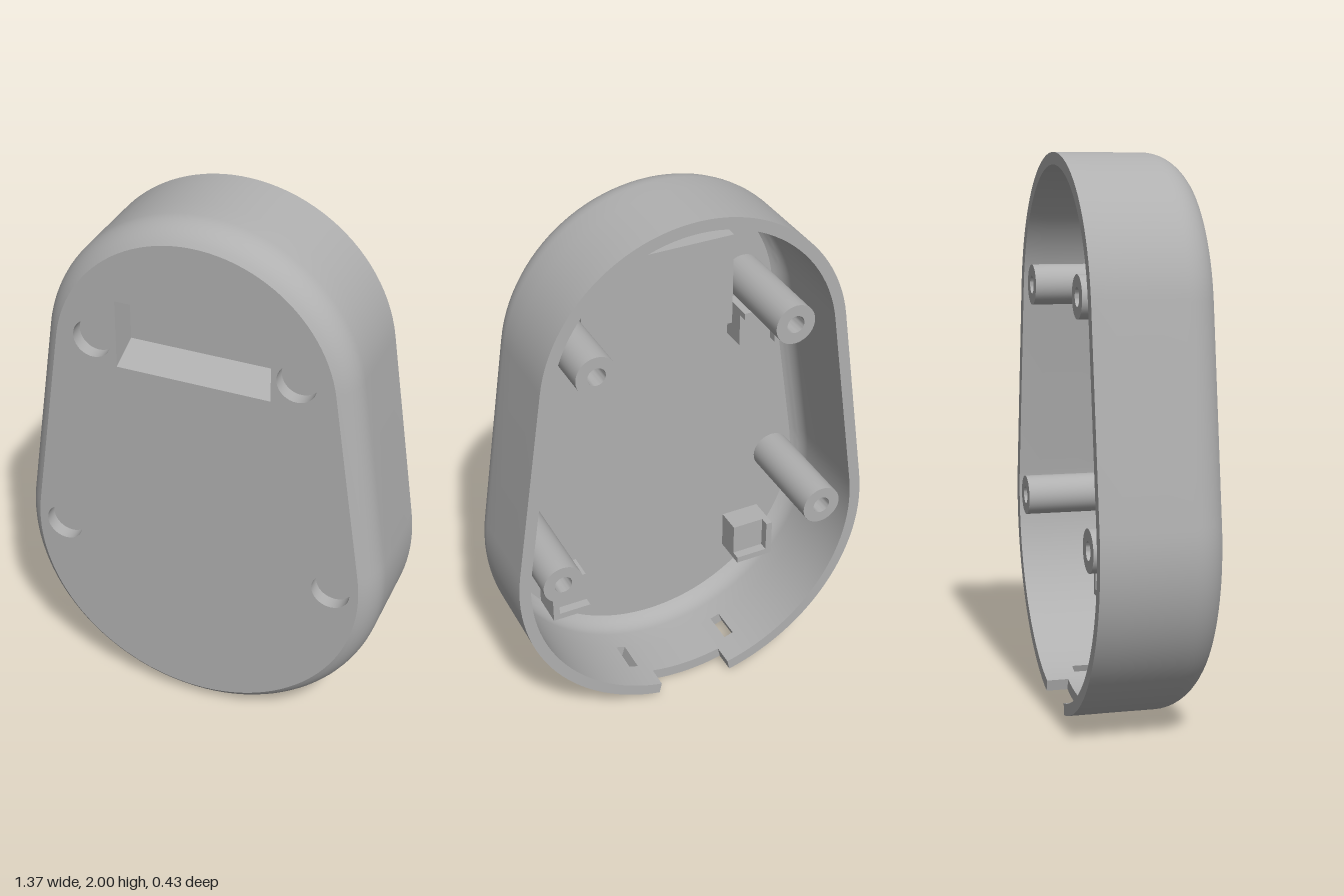
import * as THREE from 'three';
import { toCreasedNormals } from 'three/addons/utils/BufferGeometryUtils.js';

// Outline: two circles joined by tangents
const LOW = { y: 0.685, r: 0.685 }, HIGH = { y: 1.425, r: 0.575 };
const TILT = Math.asin((LOW.r - HIGH.r) / (HIGH.y - LOW.y));
const BACK = -0.215, FRONT = 0.215, FLOOR = 0.175, BEND = 0.1, WALL = 0.043;
const DOWN = 1.5 * Math.PI;
const angleAt = (x) => Math.asin(x / LOW.r);
const NOTCH = angleAt(0.15), SLOT_IN = angleAt(0.2), SLOT_OUT = angleAt(0.238);

function makeLoop() {
  const loop = [];
  for (let i = 0; i <= 48; i++) loop.push({ a: TILT + (Math.PI - 2 * TILT) * i / 48, c: HIGH });
  const angles = [];
  for (let i = 0; i <= 64; i++) angles.push(Math.PI - TILT + (Math.PI + 2 * TILT) * i / 64);
  for (const a of [NOTCH, SLOT_IN, SLOT_OUT]) angles.push(DOWN - a, DOWN + a);
  angles.sort((p, q) => p - q).forEach((a) => loop.push({ a, c: LOW }));
  return loop;
}
const LOOP = makeLoop(), N = LOOP.length;

// Point j of the outline, moved inwards by inset, at depth z
function at(j, inset, z) {
  const { a, c } = LOOP[(j + N) % N];
  return [Math.cos(a) * (c.r - inset), c.y + Math.sin(a) * (c.r - inset), z];
}

// Geometry from a list of four-cornered faces, smooth below the crease angle
function fromQuads(quads) {
  const pos = [];
  for (const [a, b, c, d] of quads) pos.push(...a, ...b, ...c, ...a, ...c, ...d);
  const geo = new THREE.BufferGeometry();
  geo.setAttribute('position', new THREE.Float32BufferAttribute(pos, 3));
  return toCreasedNormals(geo, 0.4);
}

// Side wall with cable notch and slots, plus the rounded front edge
function shellGeometry() {
  const quads = [];
  const levels = [BACK, -0.135, -0.1, 0.02, BEND];
  const solid = (j, k) => {
    if (k < 0) return false;
    if (k > 3) return true;
    const p = LOOP[(j + N) % N], q = LOOP[(j + 1 + N) % N];
    if (p.c !== LOW || q.c !== LOW) return true;
    const off = Math.abs((p.a + q.a) / 2 - DOWN);
    return !((k === 0 && off < NOTCH) || (k === 2 && off > SLOT_IN && off < SLOT_OUT));
  };
  for (let j = 0; j < N; j++) {
    for (let k = 0; k < 4; k++) {
      if (!solid(j, k)) continue;
      const z0 = levels[k], z1 = levels[k + 1], n = j + 1;
      quads.push([at(j, 0, z0), at(n, 0, z0), at(n, 0, z1), at(j, 0, z1)]);
      quads.push([at(j, WALL, z1), at(n, WALL, z1), at(n, WALL, z0), at(j, WALL, z0)]);
      // cut faces next to openings and the back rim
      if (!solid(j, k - 1)) quads.push([at(j, WALL, z0), at(n, WALL, z0), at(n, 0, z0), at(j, 0, z0)]);
      if (!solid(j, k + 1)) quads.push([at(j, 0, z1), at(n, 0, z1), at(n, WALL, z1), at(j, WALL, z1)]);
      if (!solid(j - 1, k)) quads.push([at(j, WALL, z0), at(j, 0, z0), at(j, 0, z1), at(j, WALL, z1)]);
      if (!solid(j + 1, k)) quads.push([at(n, 0, z0), at(n, WALL, z0), at(n, WALL, z1), at(n, 0, z1)]);
    }
    const steps = 8;
    for (let i = 0; i < steps; i++) {
      const o0 = edge(0, i / steps), o1 = edge(0, (i + 1) / steps);
      const i0 = edge(WALL, i / steps), i1 = edge(WALL, (i + 1) / steps);
      quads.push([at(j, ...o0), at(j + 1, ...o0), at(j + 1, ...o1), at(j, ...o1)]);
      quads.push([at(j, ...i1), at(j + 1, ...i1), at(j + 1, ...i0), at(j, ...i0)]);
    }
  }
  return fromQuads(quads);
}

// Rounded edge profile: [inset, z] at t, for the outer (0) or inner (WALL) skin
function edge(skin, t) {
  const r = 0.1376 - skin;
  const a = t * Math.asin(((skin ? FLOOR : FRONT) - BEND) / r);
  return [skin + r * (1 - Math.cos(a)), BEND + r * Math.sin(a)];
}

const POSTS = [[0.37, 1.52], [0.52, 0.695]].flatMap(([x, y]) => [[x, y], [-x, y]]);
const RECESS = 0.071;
const WINDOW = [-0.28, 0.28, 1.43, 1.685];

// Flat face of the front wall, with window and recess holes
function faceGeometry(skin) {
  const [inset, z] = edge(skin, 1);
  const shape = new THREE.Shape(LOOP.map((_, j) => new THREE.Vector2(...at(j, inset, z))));
  const [x0, x1, y0, y1] = WINDOW;
  shape.holes.push(new THREE.Path([[x0, y0], [x0, y1], [x1, y1], [x1, y0]].map((p) => new THREE.Vector2(...p))));
  for (const [x, y] of POSTS) shape.holes.push(new THREE.Path().absarc(x, y, RECESS, 0, Math.PI * 2, true));
  const geo = new THREE.ShapeGeometry(shape, 20);
  if (skin) {
    geo.scale(-1, 1, 1).rotateY(Math.PI);
    geo.scale(1, 1, -1);
    // turn the inner face towards the back
    const index = geo.index.array;
    for (let i = 0; i < index.length; i += 3) [index[i], index[i + 1]] = [index[i + 1], index[i]];
    geo.computeVertexNormals();
  }
  return geo.translate(0, 0, z);
}

// Open-fronted tray from a front rectangle to a back rectangle
function trayGeometry(f, zf, b, zb, inside) {
  const ring = ([x0, x1, y0, y1], z) => [[x0, y0, z], [x1, y0, z], [x1, y1, z], [x0, y1, z]];
  const p = ring(f, zf), q = ring(b, zb);
  const quads = [[q[3], q[2], q[1], q[0]]];
  for (let i = 0; i < 4; i++) {
    const n = (i + 1) % 4;
    quads.push([q[i], q[n], p[n], p[i]]);
  }
  return fromQuads(inside ? quads.map((c) => c.reverse()) : quads);
}

export function createModel() {
  const group = new THREE.Group();
  group.name = 'enclosureHalf';
  const grey = new THREE.MeshStandardMaterial({ color: 0xb0b0b0 });
  grey.name = 'grey plastic';
  const add = (name, geo, parent = group) => {
    const mesh = new THREE.Mesh(geo, grey);
    mesh.name = name;
    parent.add(mesh);
    return mesh;
  };

  add('shellWall', shellGeometry());
  add('frontFace', faceGeometry(0));
  add('innerFloor', faceGeometry(WALL));

  // Display pocket with sloped sill, and its housing inside
  add('displayPocket', trayGeometry(WINDOW, FRONT, [-0.272, 0.272, 1.49, 1.677], 0.113, true));
  const housing = [-0.29, 0.29, 1.38, 1.735];
  add('displayHousing', trayGeometry(housing, FLOOR, housing, 0.093, false));

  // Screw posts: bored at the back, recessed at the front
  const profile = [[0, 0.05], [0.033, 0.05], [0.033, BACK], [0.075, BACK], [0.075, FLOOR],
    [RECESS, FRONT], [RECESS, 0.165], [0, 0.165]].map((p) => new THREE.Vector2(...p));
  const post = toCreasedNormals(new THREE.LatheGeometry(profile, 40).rotateX(Math.PI / 2).toNonIndexed(), 0.4);
  for (const [x, y] of POSTS) add('screwPost', post).position.set(x, y, 0);

  // Corner brackets: a ledge with two raised outer walls
  for (const sx of [1, -1]) for (const [y, sy] of [[1.36, 1], [0.37, -1]]) {
    const bracket = new THREE.Group();
    bracket.name = 'cornerBracket';
    bracket.position.set(sx * 0.39, y, 0);
    group.add(bracket);
    const box = (name, w, h, d, bx, by) =>
      add(name, new THREE.BoxGeometry(w, h, d), bracket).position.set(bx, by, FLOOR - d / 2);
    box('ledge', 0.125, 0.125, 0.095, -sx * 0.0125, -sy * 0.0125);
    box('sideLip', 0.025, 0.15, 0.13, sx * 0.0625, 0);
    box('endLip', 0.125, 0.025, 0.13, -sx * 0.0125, sy * 0.0625);
  }
  return group;
}
